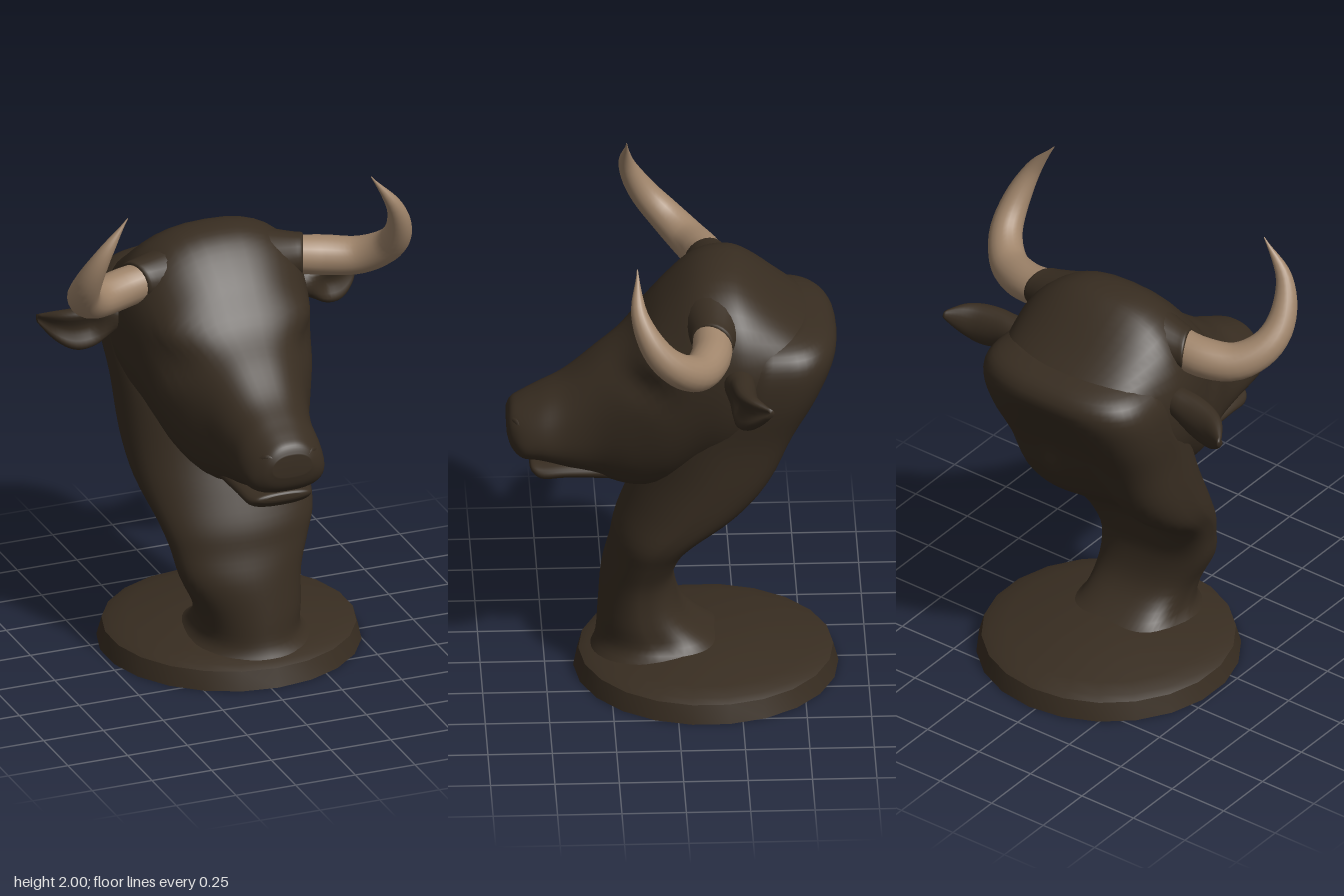
import * as THREE from 'three';
import { toCreasedNormals } from 'three/addons/utils/BufferGeometryUtils.js';

const V = (x, y, z) => new THREE.Vector3(x, y, z);
const spow = (v, p) => Math.sign(v) * Math.abs(v) ** p;
const bump = (d, r) => Math.exp(-(d * d) / (r * r));

// Smoothly resamples a list of key rows into n + 1 rows
function resample(keys, n) {
  const rows = [];
  for (let i = 0; i <= n; i++) {
    const f = (i / n) * (keys.length - 1);
    const k = Math.min(Math.floor(f), keys.length - 2);
    const t = f - k;
    const at = (j) => keys[Math.max(0, Math.min(keys.length - 1, j))];
    rows.push(keys[k].map((b, c) => {
      const a = at(k - 1)[c], d = at(k + 1)[c], e = at(k + 2)[c];
      return b + 0.5 * t * (d - a + t * (2 * a - 5 * b + 4 * d - e + t * (3 * (b - d) + e - a)));
    }));
  }
  return rows;
}

// Skins closed rings (right-handed about the direction of travel) and caps both ends
function loft(rings) {
  const n = rings[0].length, m = rings.length, pos = [], idx = [];
  rings.flat().forEach((p) => pos.push(p.x, p.y, p.z));
  for (const ring of [rings[0], rings[m - 1]]) {
    const c = V(0, 0, 0);
    ring.forEach((p) => c.addScaledVector(p, 1 / n));
    pos.push(c.x, c.y, c.z);
  }
  for (let j = 0; j < n; j++) {
    const k = (j + 1) % n, last = (m - 1) * n;
    for (let i = 0; i < m - 1; i++) {
      const a = i * n + j, b = i * n + k;
      idx.push(a, b, b + n, a, b + n, a + n);
    }
    idx.push(m * n, k, j, m * n + 1, last + j, last + k);
  }
  const g = new THREE.BufferGeometry();
  g.setAttribute('position', new THREE.Float32BufferAttribute(pos, 3));
  g.setIndex(idx);
  g.computeVertexNormals();
  return g;
}

const ringOf = (n, fn) => Array.from({ length: n }, (_, i) => fn((i / n) * Math.PI * 2));

export function createModel() {
  const group = new THREE.Group();
  const hide = new THREE.MeshStandardMaterial({ color: 0x382d21 });
  hide.name = 'dark brown hide';
  const hornMat = new THREE.MeshStandardMaterial({ color: 0xa0856b });
  hornMat.name = 'tan horn';
  const add = (name, geo, mat = hide) => {
    const mesh = new THREE.Mesh(geo, mat);
    mesh.name = name;
    group.add(mesh);
    return mesh;
  };

  // Round plinth rising gently to the neck
  const profile = [[0, 0], [0.515, 0], [0.495, 0.075], [0.465, 0.09], [0.4, 0.105], [0.23, 0.138], [0, 0.155]];
  const plinth = new THREE.LatheGeometry(profile.map(([x, y]) => new THREE.Vector2(x, y)), 22);
  add('plinth', toCreasedNormals(plinth, 0.7)).position.set(0.03, 0, -0.125);

  // Neck: height, front z, back z, right x, left x, hollow of the nape
  const neckKeys = [
    [0.08, 0.33, -0.37, -0.29, 0.36, 0], [0.14, 0.305, -0.18, -0.2, 0.24, 0],
    [0.25, 0.295, -0.04, -0.2, 0.22, 0], [0.4, 0.28, 0, -0.27, 0.22, 0],
    [0.52, 0.25, -0.03, -0.3, 0.26, 0.01], [0.62, 0.23, -0.11, -0.33, 0.3, 0.05],
    [0.75, 0.18, -0.29, -0.37, 0.32, 0.11], [0.9, 0.12, -0.42, -0.385, 0.33, 0.13],
    [1.1, 0.05, -0.51, -0.39, 0.34, 0.12], [1.28, -0.05, -0.59, -0.405, 0.37, 0.06],
    [1.42, -0.1, -0.63, -0.4, 0.37, 0], [1.5, -0.15, -0.6, -0.35, 0.33, 0],
    [1.54, -0.25, -0.5, -0.24, 0.24, 0],
  ];
  // The throat is rounded, the nape squarer with a ridge on each side
  add('neck', loft(resample(neckKeys, 48).map(([y, zf, zb, xl, xr, dent]) => ringOf(48, (a) => {
    const front = Math.cos(a) > 0;
    const c = spow(Math.cos(a), front ? 1.05 : 0.68);
    const x = (xl + xr) / 2 + ((xr - xl) / 2) * spow(Math.sin(a), front ? 1.05 : 0.68);
    const z = (zf + zb) / 2 + ((zf - zb) / 2) * c;
    return V(x, y, z + (front ? 0 : dent * bump(x + 0.02, 0.18)));
  }))));

  // Head: z, bottom y, top y, half width, widening towards the top
  const headKeys = [
    [-0.56, 1.42, 1.5, 0.22, 0], [-0.45, 1.27, 1.585, 0.33, 0], [-0.3, 1.0, 1.71, 0.385, 0.04],
    [-0.2, 0.93, 1.75, 0.39, 0.04], [-0.08, 0.89, 1.725, 0.365, 0.05], [0.05, 0.83, 1.61, 0.325, 0.04],
    [0.17, 0.815, 1.46, 0.27, 0.02], [0.3, 0.85, 1.355, 0.21, -0.02], [0.42, 0.89, 1.26, 0.18, -0.12],
    [0.52, 0.925, 1.205, 0.17, -0.2], [0.59, 0.935, 1.17, 0.15, -0.24], [0.63, 0.97, 1.145, 0.115, -0.18],
    [0.647, 1.02, 1.11, 0.08, -0.1],
  ];
  add('head', loft(resample(headKeys, 60).map(([z, yb, yt, w, t]) => ringOf(44, (a) => {
    const s = spow(Math.sin(a), 0.9);
    const y = (yb + yt) / 2 + ((yt - yb) / 2) * s;
    let x = w * spow(Math.cos(a), s < 0 ? 0.75 : 0.82) * (1 + t * s);
    // Brow ridge above a shallow eye socket
    const near = bump(z - 0.1, 0.09) * Math.min(1, Math.abs(x) / 0.15);
    x += Math.sign(x) * near * (0.03 * bump(y - 1.44, 0.07) - 0.025 * bump(y - 1.33, 0.06));
    return V(x - 0.018, y, z);
  }))));

  // Lower jaw and lip: z, bottom y, top y, half width
  const jawKeys = [
    [0.1, 0.83, 0.95, 0.14], [0.28, 0.845, 0.94, 0.15], [0.42, 0.85, 0.93, 0.145],
    [0.51, 0.842, 0.92, 0.135], [0.55, 0.868, 0.915, 0.11], [0.56, 0.885, 0.905, 0.07],
  ];
  add('lowerJaw', loft(resample(jawKeys, 24).map(([z, yb, yt, w]) => ringOf(28, (a) => V(
    -0.018 + w * spow(Math.cos(a), 0.8), (yb + yt) / 2 + ((yt - yb) / 2) * spow(Math.sin(a), 0.9), z)))));

  for (const side of [1, -1]) {
    const label = side > 0 ? 'left' : 'right';
    const outward = (ring) => (side > 0 ? ring : ring.reverse());

    // Nostril rim
    const nostril = add(label + 'Nostril', new THREE.TorusGeometry(0.032, 0.014, 8, 20));
    nostril.position.set(-0.018 + side * 0.095, 1.065, 0.61);
    nostril.rotation.set(0, side * 0.7, side * 0.5);
    nostril.scale.set(1, 1.25, 1);

    // Hide tapering onto the horn, reaching further out at the back: x, radius
    const rootKeys = [[0.18, 0.13], [0.26, 0.105], [0.32, 0.088], [0.35, 0.081], [0.355, 0.07]];
    add(label + 'HornRoot', loft(resample(rootKeys, 12).map(([x, r]) => outward(ringOf(24, (a) => V(
      side * (x - 0.4 * r * Math.sin(a)) - 0.01, 1.577 + r * Math.cos(a), -0.137 + r * Math.sin(a)))))));

    // Horn: sweeps out, forward and up to a point
    const path = new THREE.CatmullRomCurve3([
      [0.28, 1.585, -0.14], [0.42, 1.56, -0.13], [0.55, 1.56, -0.075], [0.632, 1.62, 0.01],
      [0.65, 1.71, 0.09], [0.612, 1.85, 0.155], [0.51, 2, 0.16],
    ].map(([x, y, z]) => V(side * x, y, z)));
    const n = 30, frames = path.computeFrenetFrames(n);
    const radii = resample([[0.074], [0.079], [0.074], [0.064], [0.05], [0.028], [0.002]], n);
    add(label + 'Horn', loft(radii.map(([r], i) => ringOf(20, (a) => path.getPointAt(i / n)
      .addScaledVector(frames.normals[i], r * Math.cos(a))
      .addScaledVector(frames.binormals[i], r * Math.sin(a))))), hornMat);

    // Ear: leaf shape with a hollow front; x, y, z, half height, half depth
    const drop = side > 0 ? 0 : 1;
    const earKeys = [
      [0.33, 1.41, -0.24, 0.05, 0.06], [0.41, 1.4, -0.245, 0.065, 0.06], [0.48, 1.385, -0.245, 0.085, 0.065],
      [0.55, 1.385, -0.26, 0.085, 0.062], [0.61, 1.405, -0.295, 0.06, 0.05], [0.655, 1.43, -0.348, 0.018, 0.018],
    ];
    add(label + 'Ear', loft(resample(earKeys, 20).map(([x, y, z, h, d]) => {
      const f = Math.max(0, (x - 0.4) / 0.25);
      return outward(ringOf(24, (a) => {
        const c = Math.cos(a), s = Math.sin(a);
        const hollow = s > 0 ? Math.min(1, f * 3) * d * 0.9 * s ** 4 : 0;
        return V(side * (x + drop * 0.025 * f), y + h * c - drop * 0.045 * f, z + d * s - hollow);
      }));
    })));
  }
  return group;
}
